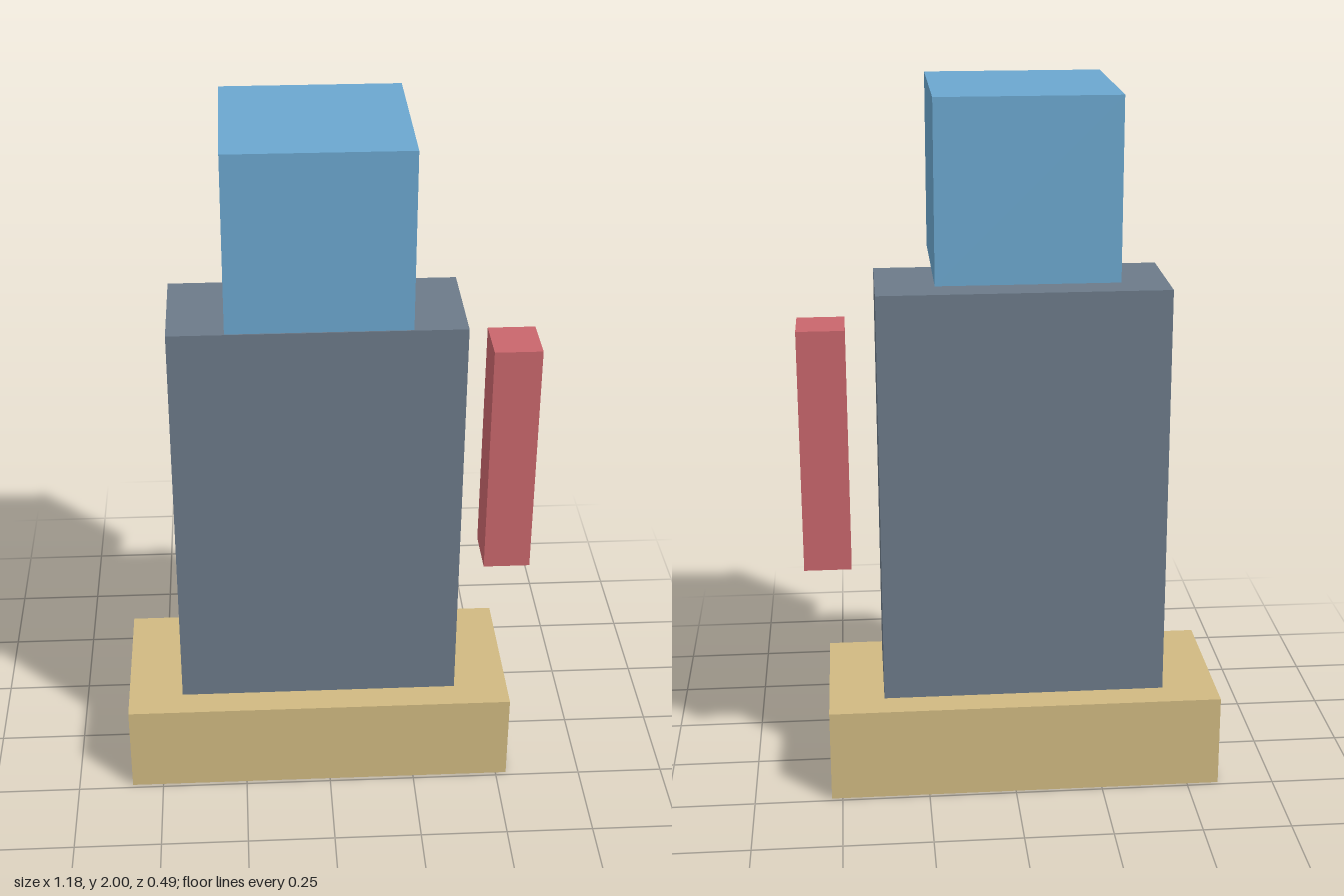
import * as THREE from 'three';

// Adds a plain coloured block, given its centre x, bottom y and size.
function addBlock(group, name, color, x, bottom, [w, h, d]) {
  const mesh = new THREE.Mesh(
    new THREE.BoxGeometry(w, h, d),
    new THREE.MeshStandardMaterial({ color })
  );
  mesh.name = name;
  mesh.position.set(x, bottom + h / 2, 0);
  group.add(mesh);
}

export function createModel() {
  const model = new THREE.Group();
  model.name = 'blockFigure';

  // Base slab, torso and head share one axis, slightly off centre
  const axis = -0.03;
  addBlock(model, 'base', 0xd0b981, axis, 0, [1.122, 0.268, 0.477]);
  addBlock(model, 'torso', 0x6c7a89, axis, 0.274, [0.806, 1.188, 0.324]);
  addBlock(model, 'head', 0x6ba7cf, axis, 1.507, [0.494, 0.493, 0.494]);

  // Single arm floating beside the torso on its left
  addBlock(model, 'leftArm', 0xc9666c, 0.524, 0.642, [0.134, 0.703, 0.152]);

  return model;
}
